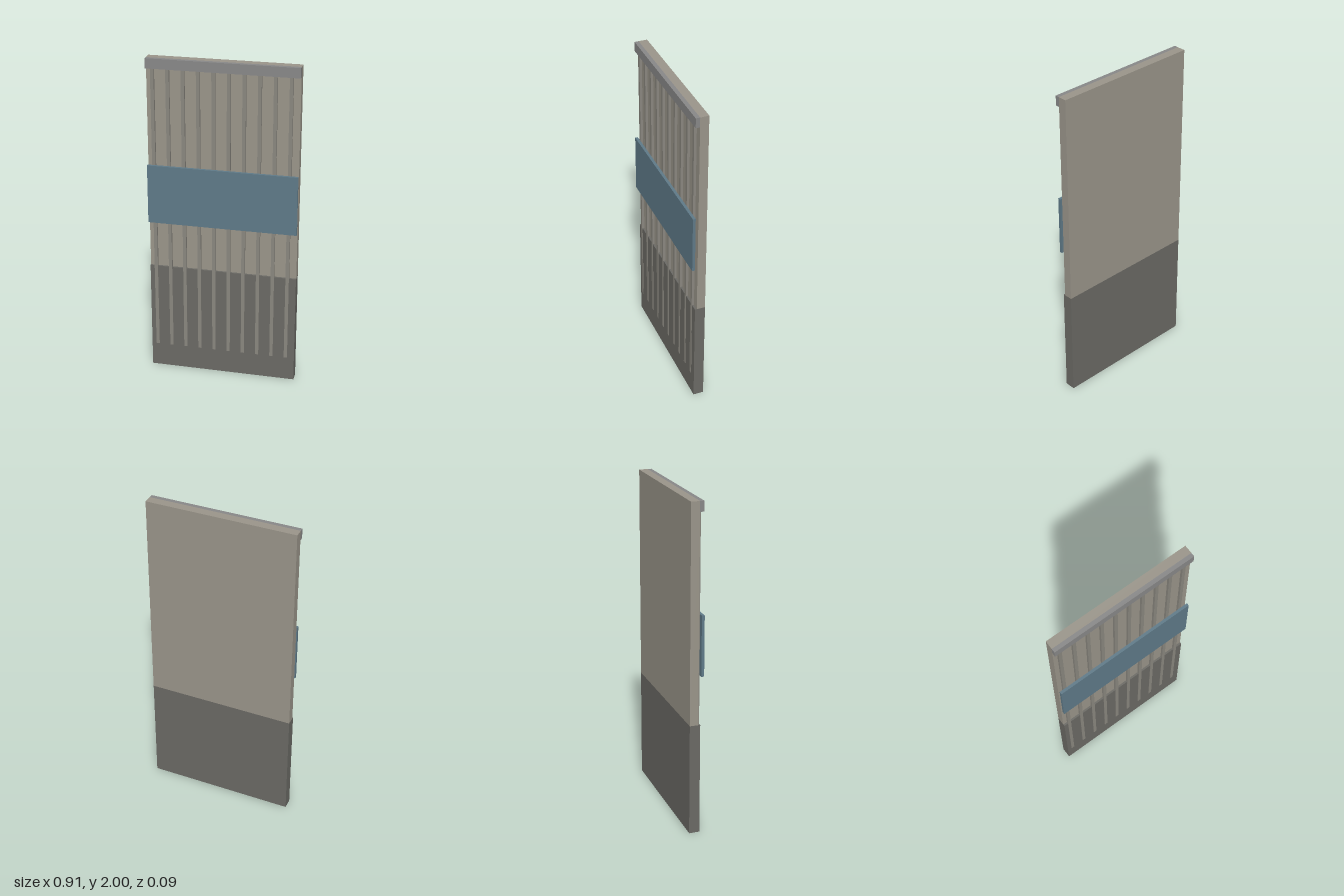
import * as THREE from 'three';

const W = 0.906;      // panel width
const BACK = -0.043;  // rear plane

const mat = (color) => new THREE.MeshStandardMaterial({ color });

// Box given by its limits in y and z, centred at x
function slab(name, material, width, y0, y1, z0, z1, x = 0) {
  const mesh = new THREE.Mesh(new THREE.BoxGeometry(width, y1 - y0, z1 - z0), material);
  mesh.position.set(x, (y0 + y1) / 2, (z0 + z1) / 2);
  mesh.name = name;
  return mesh;
}

export function createModel() {
  const group = new THREE.Group();
  group.name = 'wallPanel';

  // Backing board above a thicker, darker plinth
  group.add(slab('backingBoard', mat(0x9a958a), W, 0.69, 2, BACK, 0.009));
  group.add(slab('plinth', mat(0x6b6a65), W, 0, 0.69, BACK, 0.021));

  // Evenly spaced vertical ribs, standing slightly proud of the plinth
  const ribs = new THREE.Group();
  ribs.name = 'ribs';
  const ribMaterial = mat(0x8a877f);
  const count = 10;
  const pitch = W / count;
  for (let i = 0; i < count; i++) {
    const x = -W / 2 + 0.0375 + i * pitch;
    ribs.add(slab('rib', ribMaterial, 0.021, 0.15, 1.94, 0.005, 0.024, x));
  }
  group.add(ribs);

  // Top rail and coloured band across the front
  group.add(slab('topRail', mat(0x888888), W, 1.94, 2, 0.009, 0.034));
  group.add(slab('colourBand', mat(0x5f7a88), W, 0.985, 1.35, 0.025, 0.042));

  return group;
}
